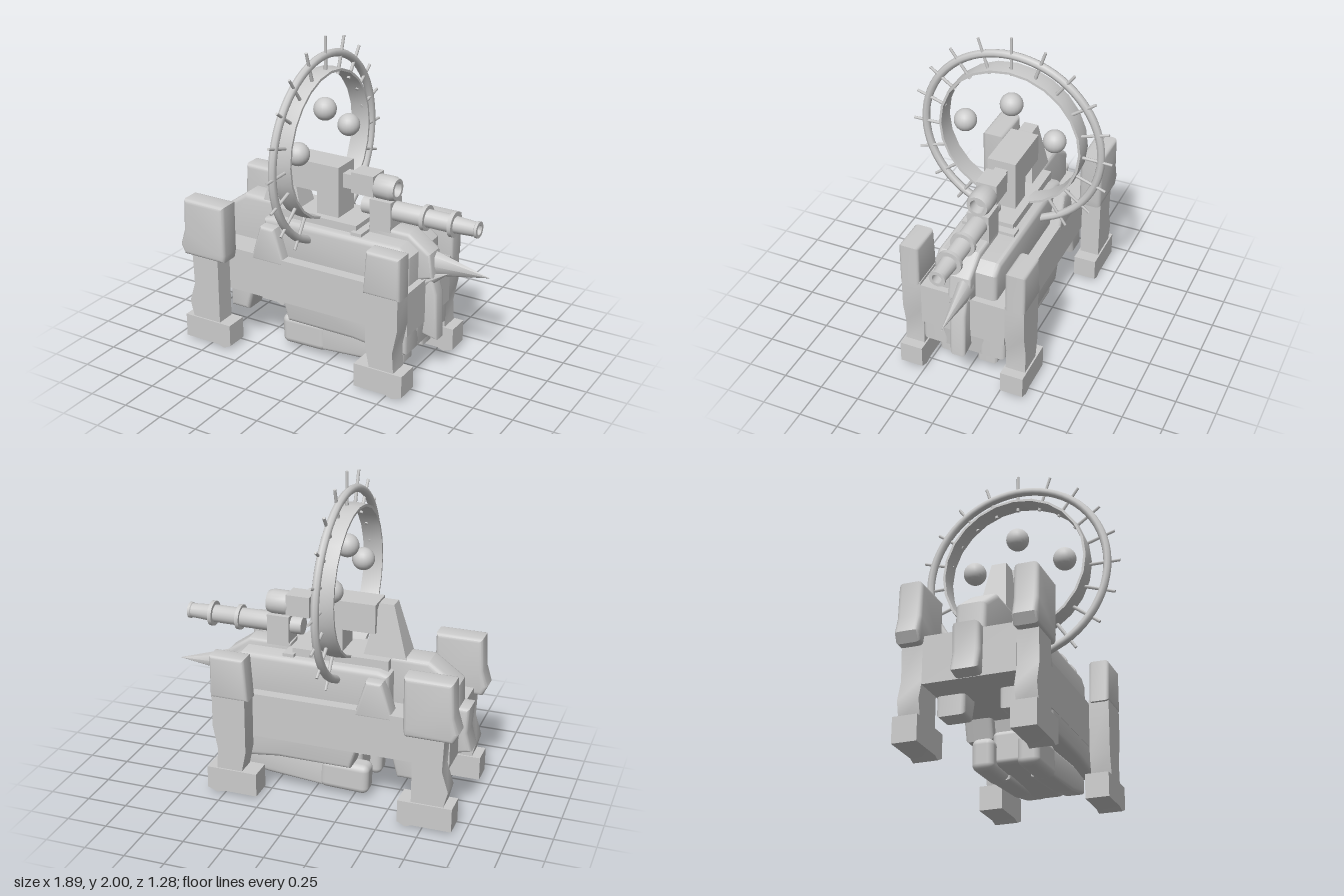
import * as THREE from 'three';
import { toCreasedNormals } from 'three/addons/utils/BufferGeometryUtils.js';
import { RoundedBoxGeometry } from 'three/addons/geometries/RoundedBoxGeometry.js';

const grey = new THREE.MeshStandardMaterial({ color: 0xcccccc });
const thin = new THREE.MeshStandardMaterial({ color: 0xcccccc, side: THREE.DoubleSide });

export function createModel() {
  const model = new THREE.Group();

  const add = (name, geometry, x = 0, y = 0, z = 0, material = grey) => {
    const mesh = new THREE.Mesh(geometry, material);
    mesh.name = name;
    mesh.position.set(x, y, z);
    model.add(mesh);
    return mesh;
  };

  // Box given by its limits, optionally rounded
  const box = (name, x0, x1, y0, y1, z0, z1, r = 0) => add(name,
    r ? new RoundedBoxGeometry(x1 - x0, y1 - y0, z1 - z0, 3, r)
      : new THREE.BoxGeometry(x1 - x0, y1 - y0, z1 - z0),
    (x0 + x1) / 2, (y0 + y1) / 2, (z0 + z1) / 2);

  // Side profile (x, y) extruded between two z limits with a soft bevel
  const slab = (name, points, z0, z1, b = 0) => {
    const shape = new THREE.Shape(points.map(p => new THREE.Vector2(...p)));
    const g = new THREE.ExtrudeGeometry(shape, {
      depth: z1 - z0 - 2 * b, bevelEnabled: b > 0, bevelSize: b, bevelThickness: b,
      bevelOffset: -b, bevelSegments: 3,
    });
    g.translate(0, 0, z0 + b);
    return add(name, toCreasedNormals(g, 0.6));
  };

  // Turned part along x from [radius, x] points
  const turned = (name, points, y, z = 0) => {
    const g = new THREE.LatheGeometry(points.map(p => new THREE.Vector2(...p)), 20);
    g.rotateZ(-Math.PI / 2);
    return add(name, toCreasedNormals(g, 0.6), 0, y, z, thin);
  };

  // Main body
  box('bodyFrame', -0.87, 0.57, 0.36, 0.64, -0.27, 0.27);
  slab('hull', [[-0.47, 0.6], [-0.47, 0.85], [-0.4, 0.87], [0.46, 0.87], [0.53, 0.82],
    [0.53, 0.6]], -0.2, 0.2, 0.03);
  box('deck', -0.45, 0.15, 0.85, 0.92, -0.14, 0.14);
  box('frontDeck', 0.13, 0.2, 0.8, 0.89, -0.17, 0.17);
  slab('neckBase', [[0.19, 0.72], [0.19, 0.91], [0.46, 0.91], [0.6, 0.81], [0.62, 0.66],
    [0.5, 0.62]], -0.07, 0.07, 0.02);
  slab('keel', [[-0.25, 0.4], [-0.22, 0.27], [0.3, 0.22], [0.55, 0.22], [0.57, 0.4]],
    -0.14, 0.14, 0.02);
  slab('nose', [[0.5, 0.28], [0.65, 0.25], [0.64, 0.55], [0.6, 0.68], [0.5, 0.7]],
    -0.05, 0.05, 0.02);

  // Mirrored side parts
  for (const s of [1, -1]) {
    const side = s > 0 ? 'left' : 'right';
    const span = (a, b) => (s > 0 ? [a, b] : [-b, -a]);
    slab(side + 'FrontSkirt', [[-0.36, 0.57], [-0.26, 0.24], [0.2, 0.24], [0.45, 0.21],
      [0.56, 0.23], [0.56, 0.57]], ...span(0.1, 0.268), 0.025);
    slab(side + 'RearSkirt', [[-0.68, 0.57], [-0.68, 0.24], [-0.55, 0.24], [-0.46, 0.57]],
      ...span(0.1, 0.268), 0.025);
    slab(side + 'ArchBump', [[-0.52, 0.6], [-0.45, 0.83], [-0.35, 0.83], [-0.28, 0.6]],
      ...span(0.15, 0.272), 0.02);
    const pod = box(side + 'BellyPod', -0.35, -0.04, 0.04, 0.23, ...span(0.07, 0.2), 0.04);
    pod.rotation.z = 0.03;
    slab(side + 'BellyArm', [[-0.1, 0.05], [0.3, 0.08], [0.5, 0.12], [0.5, 0.25], [-0.1, 0.22]],
      ...span(0.06, 0.19), 0.02);

    // Rear leg
    slab(side + 'RearFoot', [[-0.93, 0.02], [-0.69, 0.02], [-0.65, 0.005], [-0.6, 0.03],
      [-0.6, 0.17], [-0.93, 0.17]], ...span(0.26, 0.405));
    slab(side + 'RearShin', [[-0.87, 0.15], [-0.68, 0.15], [-0.68, 0.65], [-0.87, 0.65],
      [-0.86, 0.4], [-0.9, 0.27]], ...span(0.27, 0.395));
    slab(side + 'RearThigh', [[-0.95, 0.65], [-0.92, 0.59], [-0.63, 0.59], [-0.62, 0.64],
      [-0.62, 0.96], [-0.91, 0.96], [-0.92, 0.75]], ...span(0.265, 0.41), 0.025);

    // Front leg
    slab(side + 'FrontFoot', [[0.29, 0.02], [0.5, 0.02], [0.55, 0.005], [0.61, 0.03],
      [0.61, 0.17], [0.29, 0.17]], ...span(0.26, 0.405));
    slab(side + 'FrontShin', [[0.39, 0.15], [0.55, 0.15], [0.54, 0.3], [0.57, 0.45],
      [0.57, 0.66], [0.36, 0.66], [0.36, 0.3]], ...span(0.27, 0.395));
    slab(side + 'FrontThigh', [[0.34, 0.64], [0.58, 0.64], [0.58, 0.91], [0.36, 0.91]],
      ...span(0.275, 0.4), 0.02);
  }
  box('bellyCore', -0.28, 0.4, 0.08, 0.28, -0.1, 0.1, 0.03);

  // Tail block, spine and tall rear fin
  slab('tailBlock', [[-0.95, 0.38], [-0.86, 0.36], [-0.84, 0.66], [-0.93, 0.66], [-0.92, 0.5]],
    -0.08, 0.08, 0.025);
  slab('tailSpine', [[-0.88, 0.4], [-0.45, 0.4], [-0.4, 0.93], [-0.68, 0.93], [-0.86, 0.8]],
    -0.09, 0.09, 0.03);
  const fin = slab('rearFin', [[-0.56, 0.85], [-0.45, 1.24], [-0.36, 1.24], [-0.26, 0.85]],
    -0.09, 0.09);
  const fp = fin.geometry.attributes.position;
  for (let i = 0; i < fp.count; i++) if (fp.getY(i) > 1) fp.setZ(i, fp.getZ(i) * 0.5);
  fin.geometry.computeVertexNormals();

  // Gun housing and upper gun
  box('gunHousing', -0.35, 0, 1.06, 1.24, -0.09, 0.09);
  box('gunPedestal', -0.15, 0, 0.9, 1.1, -0.09, 0.09);
  box('gunLink', -0.01, 0.08, 1.1, 1.19, -0.04, 0.04);
  box('upperGunBlock', 0.07, 0.22, 1.09, 1.22, -0.065, 0.065);
  turned('upperGun', [[0, 0.2], [0.06, 0.2], [0.075, 0.23], [0.075, 0.32], [0.065, 0.35],
    [0.045, 0.35], [0.04, 0.29], [0, 0.29]], 1.145);

  // Lower cannon with collars
  box('cannonMount', 0.2, 0.34, 0.88, 1.08, -0.07, 0.07);
  turned('cannonBreech', [[0, 0.13], [0.055, 0.13], [0.055, 0.22], [0, 0.22]], 1.01);
  turned('cannonBarrel', [[0, 0.3], [0.06, 0.3], [0.06, 0.53], [0.055, 0.54], [0.055, 0.71],
    [0.052, 0.72], [0.044, 0.86], [0.05, 0.865], [0.05, 0.88], [0.03, 0.88], [0.03, 0.7],
    [0, 0.7]], 1.01);
  for (const x of [0.54, 0.72]) {
    turned('cannonCollar', [[0.05, x - 0.012], [0.078, x - 0.012], [0.078, x + 0.012],
      [0.05, x + 0.012]], 1.01);
  }

  // Nose horn, slightly skewed
  const horn = add('noseHorn', new THREE.ConeGeometry(0.09, 0.38, 8), 0.75, 0.71, -0.035);
  horn.rotation.set(0, 0.06, -Math.PI / 2 - 0.06);
  horn.scale.z = 0.6;
  const barb = add('hornBarb', new THREE.ConeGeometry(0.05, 0.2, 6), 0.62, 0.65, 0.02);
  barb.rotation.z = -Math.PI / 2 + 0.5;

  // Large upright hoop: outer tube and wide inner band, open at the foot
  const cx = -0.15, cy = 1.315;
  const arc = (radius, gap, n) => Array.from({ length: n + 1 }, (_, i) => {
    const a = -Math.PI / 2 + gap + (2 * Math.PI - 2 * gap) * i / n;
    return new THREE.Vector3(0, Math.sin(a) * radius, Math.cos(a) * radius);
  });
  const outer = new THREE.CatmullRomCurve3(arc(0.565, 0.35, 20));
  add('outerHoop', new THREE.TubeGeometry(outer, 60, 0.025, 8), cx, cy);
  for (const p of [outer.getPoint(0), outer.getPoint(1)]) {
    add('hoopEnd', new THREE.SphereGeometry(0.025, 8, 6), cx, cy + p.y, p.z);
  }
  const band = new THREE.LatheGeometry([[0.44, -0.06], [0.455, -0.06], [0.46, 0], [0.455, 0.06],
    [0.44, 0.06], [0.435, 0], [0.44, -0.06]].map(p => new THREE.Vector2(...p)), 24);
  band.rotateZ(-Math.PI / 2);
  add('innerBand', toCreasedNormals(band, 0.6), -0.16, 1.34, 0, thin);

  // Spikes radiating through the hoop
  for (let i = -8; i <= 8; i++) {
    const a = i * 0.318, r0 = 0.44, r1 = 0.685 - 0.045 * Math.min(1, Math.abs(i) / 3);
    const mid = (r0 + r1) / 2;
    const spike = add('hoopSpike', new THREE.CylinderGeometry(0.009, 0.011, r1 - r0, 6),
      cx + 0.01, cy + Math.cos(a) * mid, Math.sin(a) * mid);
    spike.rotation.x = a;
  }

  // Floating orbs inside the hoop
  for (const [y, z] of [[1.555, 0], [1.37, 0.3], [1.37, -0.275]]) {
    add('orb', new THREE.SphereGeometry(0.07, 20, 14), -0.145, y, z);
  }
  return model;
}
